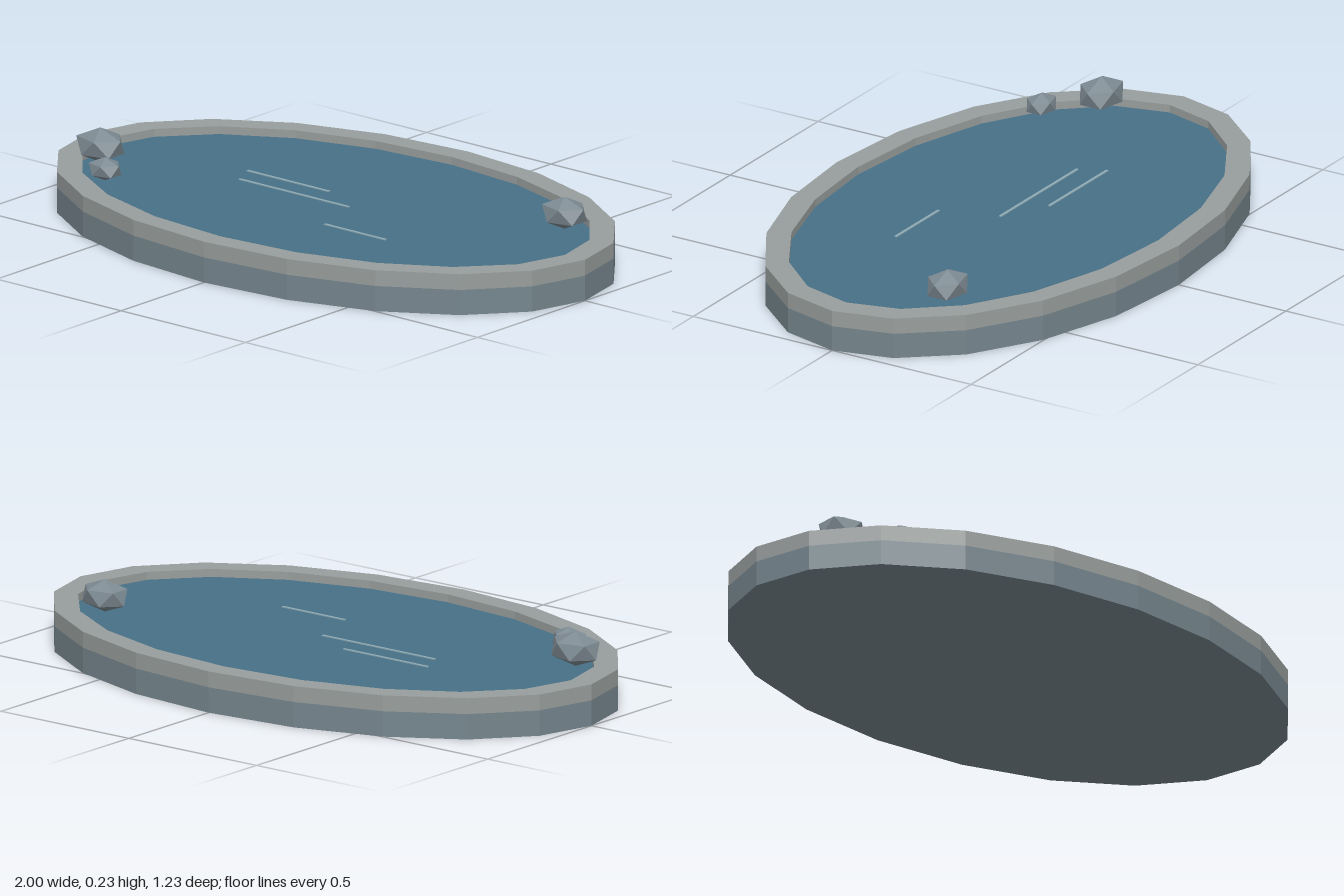
import * as THREE from 'three';

const SIDES = 20;
const RX = 1, RZ = 0.615; // outer half-axes
const IX = 0.92, IZ = 0.54; // inner half-axes

const material = (color) => new THREE.MeshStandardMaterial({ color, flatShading: true });

function ellipsePoints(rx, rz) {
  return Array.from({ length: SIDES }, (_, i) => {
    const a = (i / SIDES) * Math.PI * 2;
    return new THREE.Vector2(Math.cos(a) * rx, Math.sin(a) * rz);
  });
}

// Upright elliptical slab, with an optional elliptical opening
function slab(outer, inner, bottom, top) {
  const shape = new THREE.Shape(outer);
  if (inner) shape.holes.push(new THREE.Path(inner));
  const geometry = new THREE.ExtrudeGeometry(shape, { depth: top - bottom, bevelEnabled: false });
  return geometry.rotateX(-Math.PI / 2).translate(0, bottom, 0);
}

export function createModel() {
  const group = new THREE.Group();
  const add = (name, geometry, mat) => {
    const mesh = new THREE.Mesh(geometry, mat);
    mesh.name = name;
    group.add(mesh);
    return mesh;
  };

  const outer = ellipsePoints(RX, RZ);
  const inner = ellipsePoints(IX, IZ);

  // Basin, stone rim and water
  add('base', slab(outer, null, 0, 0.08), material(0x75858d));
  add('rim', slab(outer, inner, 0.08, 0.13), material(0x989e9d));
  add('water', slab(inner, null, 0.08, 0.105), material(0x477086));

  // Thin ripples on the water: start x, end x, z
  const rippleMaterial = material(0x8fabb5);
  [[-0.43, -0.1, -0.085], [-0.39, 0.05, -0.003], [0.11, 0.355, 0.18]].forEach(([x0, x1, z], i) => {
    const ripple = add(`ripple${i + 1}`, new THREE.BoxGeometry(x1 - x0, 0.004, 0.009), rippleMaterial);
    ripple.position.set((x0 + x1) / 2, 0.106, z);
  });

  // Squashed stones standing on one corner: position, then half sizes
  const stoneMaterial = material(0x7d8a92);
  const stoneGeometry = new THREE.IcosahedronGeometry(1, 0).rotateZ(-Math.atan(2 / (1 + Math.sqrt(5))));
  [
    [-0.8, 0.174, 0.17, 0.09, 0.055, 0.07],
    [-0.667, 0.155, 0.302, 0.061, 0.037, 0.048],
    [0.715, 0.168, -0.235, 0.084, 0.051, 0.065],
  ].forEach(([x, y, z, sx, sy, sz], i) => {
    const stone = add(`stone${i + 1}`, stoneGeometry, stoneMaterial);
    stone.position.set(x, y, z);
    stone.scale.set(sx, sy, sz);
  });

  return group;
}
